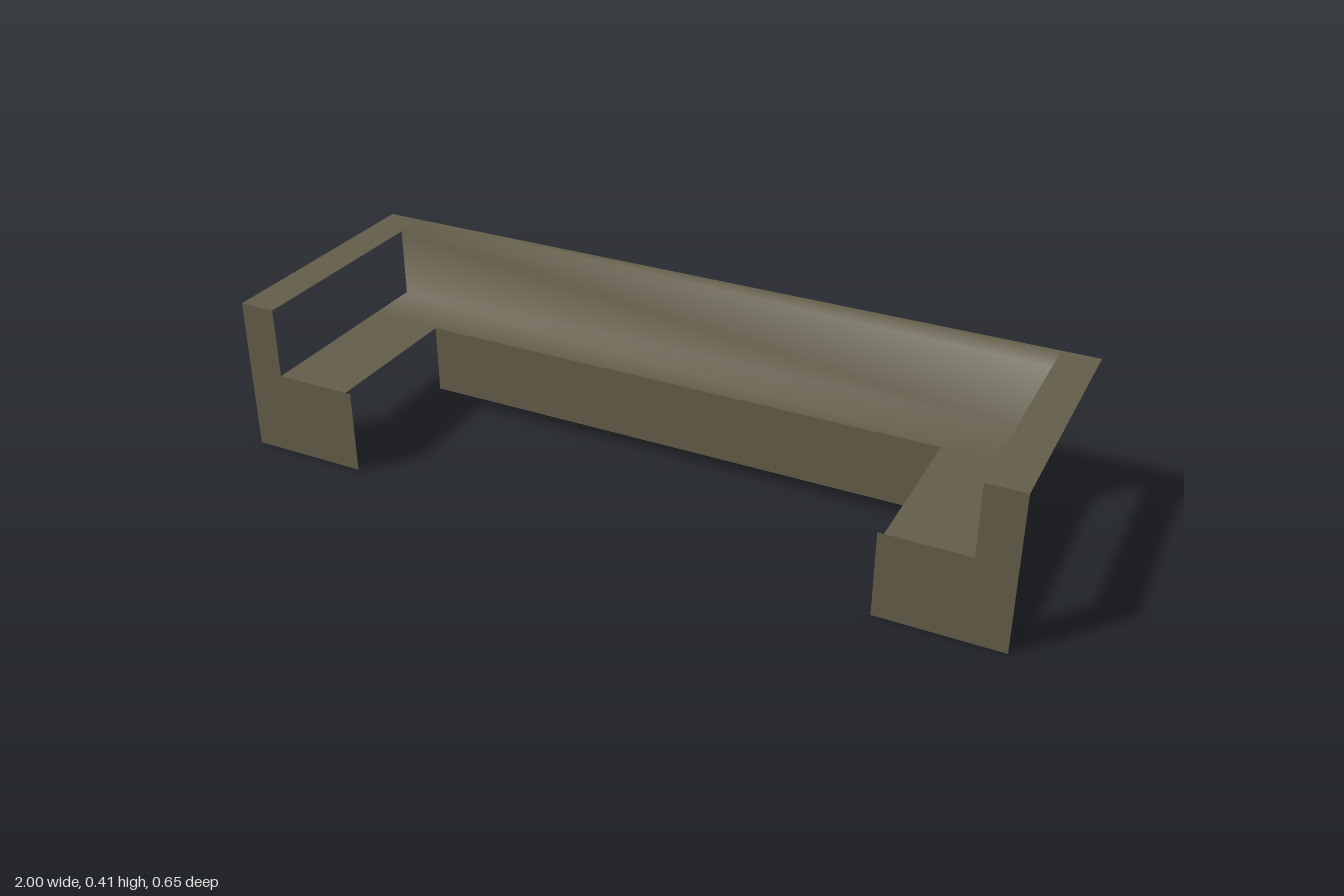
import * as THREE from 'three';

const TOP = 0.405, SEAT = 0.22;      // heights of the upper rim and the seat
const BACK = -0.33, REAR = -0.237, INNER = -0.08, FRONT = 0.325; // depths
const OUT = 1, SIDE = 0.905, ARM = 0.705, PANEL = 0.69;          // half widths

const olive = new THREE.MeshStandardMaterial({ color: 0x645e4a, side: THREE.DoubleSide });
olive.name = 'dull olive';

function add(group, name, geometry) {
  const mesh = new THREE.Mesh(geometry, olive);
  mesh.name = name;
  group.add(mesh);
  return mesh;
}

// Horizontal sheet facing up
function flat(x0, x1, z0, z1, y) {
  return new THREE.PlaneGeometry(x1 - x0, z1 - z0)
    .rotateX(-Math.PI / 2)
    .translate((x0 + x1) / 2, y, (z0 + z1) / 2);
}

// Sheet swept along x from a [z, y] profile, smooth over its bends
function sweep(profile, halfWidth) {
  const positions = [], index = [];
  profile.forEach(([z, y], i) => {
    positions.push(-halfWidth, y, z, halfWidth, y, z);
    if (i) {
      const a = 2 * i - 2;
      index.push(a, a + 2, a + 3, a, a + 3, a + 1);
    }
  });
  const g = new THREE.BufferGeometry();
  g.setAttribute('position', new THREE.Float32BufferAttribute(positions, 3));
  g.setIndex(index);
  g.computeVertexNormals();
  return g;
}

export function createModel() {
  const model = new THREE.Group();
  model.name = 'bench';

  // Rear rim, backrest and long seat in one bent sheet
  add(model, 'backrestAndSeat', sweep([[BACK, TOP], [REAR, TOP], [REAR, SEAT], [INNER, SEAT]], SIDE));

  // Skirt hanging below the front edge of the long seat
  add(model, 'seatSkirt', sweep([[INNER, SEAT], [INNER, 0.035]], ARM));

  // L-shaped end panel on the +x side
  const end = new THREE.Shape();
  end.moveTo(PANEL, 0);
  end.lineTo(OUT, 0);
  end.lineTo(OUT, TOP);
  end.lineTo(SIDE, TOP);
  end.lineTo(SIDE, SEAT);
  end.lineTo(PANEL, SEAT);
  end.closePath();

  for (const side of [1, -1]) {
    const wing = new THREE.Group();
    wing.name = side > 0 ? 'leftWing' : 'rightWing';
    add(wing, 'armRim', flat(SIDE, OUT, BACK, FRONT, TOP));
    add(wing, 'armSeat', flat(ARM, SIDE, INNER, FRONT, SEAT));
    add(wing, 'endPanel', new THREE.ShapeGeometry(end).translate(0, 0, FRONT));
    wing.scale.x = side;
    model.add(wing);
  }
  return model;
}
